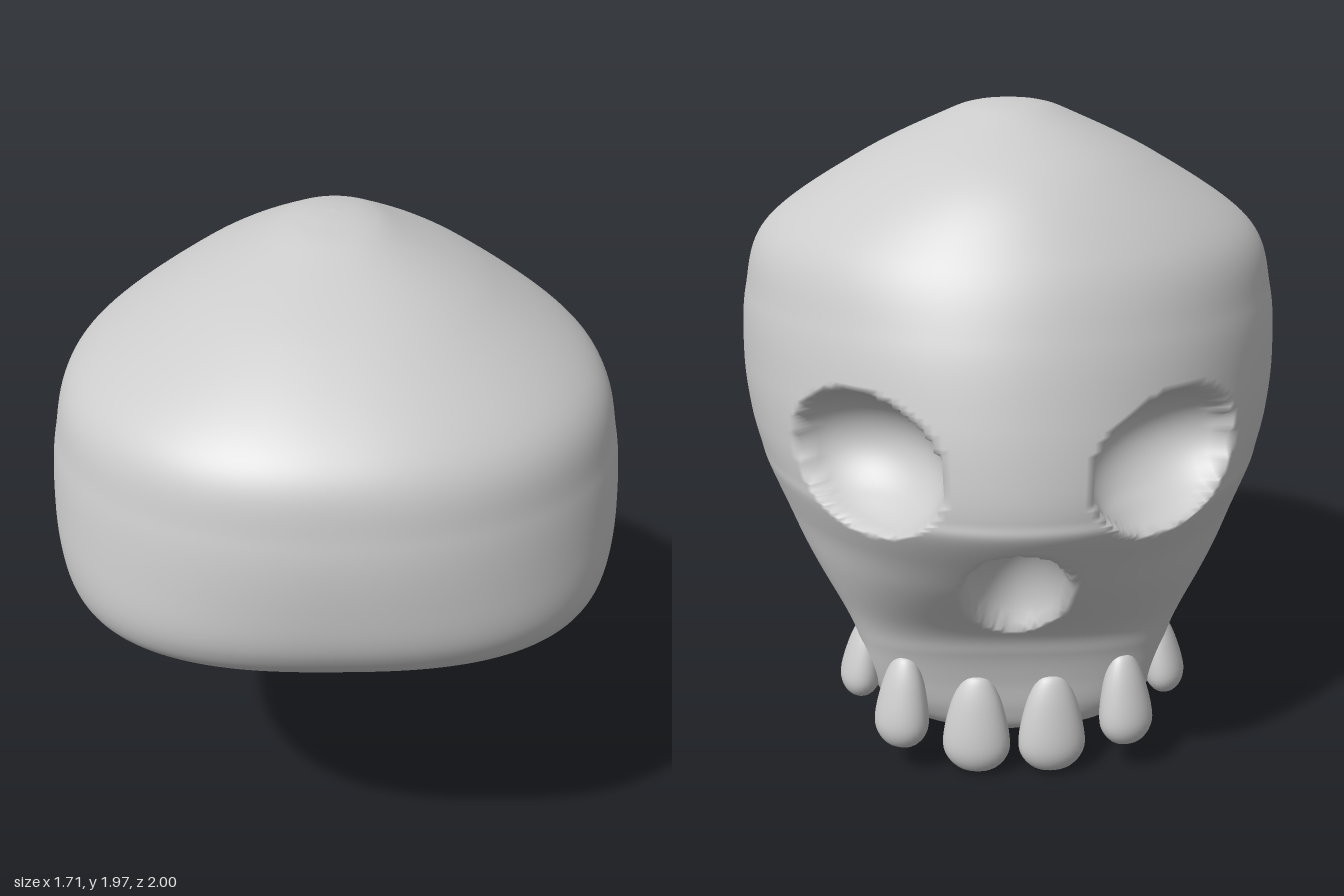
import * as THREE from 'three';

const { smoothstep } = THREE.MathUtils;
const bone = new THREE.MeshStandardMaterial({ color: 0xcccccc });
bone.name = 'bone';

// Horizontal sections, top to bottom: [height, half width, z of widest point, front z, back z]
const SECTIONS = [
  [1.975, 0, 0, 0, 0],
  [1.965, 0.1, 0, 0.13, -0.13],
  [1.93, 0.2, 0.02, 0.3, -0.29],
  [1.8, 0.47, 0.05, 0.64, -0.61],
  [1.6, 0.765, 0.09, 0.92, -0.8],
  [1.4, 0.84, 0.11, 0.99, -0.9],
  [1.2, 0.855, 0.12, 1.0, -0.96],
  [1.05, 0.84, 0.11, 0.975, -0.99],
  [0.95, 0.81, 0.07, 0.885, -0.998],
  [0.88, 0.78, 0.02, 0.69, -0.985],
  [0.7, 0.665, -0.2, 0.21, -0.855],
  [0.5, 0.52, -0.41, -0.18, -0.685],
  [0.4, 0.47, -0.46, -0.295, -0.64],
  [0.3, 0.445, -0.46, -0.34, -0.615],
  [0.2, 0.4, -0.46, -0.352, -0.6],
  [0.13, 0.3, -0.46, -0.365, -0.575],
  [0.095, 0.16, -0.46, -0.4, -0.52],
  [0.085, 0, -0.46, -0.46, -0.46],
];

// Sections grow squarer towards the jaw and round off again at its underside
function squareness(y, base, extra, top) {
  return base + extra * (1 - smoothstep(y, 0.4, top)) * smoothstep(y, 0.08, 0.3);
}

// Hollows pressed into the bone: two eye sockets and the nose opening
function hollow(center, normal, roll, halfWidth, halfHeight, depth) {
  const n = new THREE.Vector3(...normal).normalize();
  const across = new THREE.Vector3(0, 1, 0).cross(n).normalize();
  across.applyAxisAngle(n, roll);
  const along = n.clone().cross(across);
  return { c: new THREE.Vector3(...center), n, across, along, halfWidth, halfHeight, depth };
}
const HOLLOWS = [
  ...[1, -1].map((s) => hollow([s * 0.42, 1.06, -0.82], [s * 0.57, 0, -0.82], s * -0.2, 0.265, 0.19, 0.22)),
  hollow([0, 0.67, -0.83], [0, -0.67, -0.74], 0, 0.15, 0.22, 0.15),
];

function press(p) {
  const d = new THREE.Vector3();
  for (const h of HOLLOWS) {
    d.copy(p).sub(h.c);
    if (d.dot(h.n) < -0.3) continue;
    const r2 = (d.dot(h.across) / h.halfWidth) ** 2 + (d.dot(h.along) / h.halfHeight) ** 2;
    if (r2 < 1) {
      p.addScaledVector(h.n, -h.depth * Math.pow(1 - r2, 0.7));
      break;
    }
  }
  return p;
}

// Skull surface: smooth interpolation of the sections, wrapped into closed rings
function skullGeometry(rings = 230, sides = 240) {
  const curve = (a, b, c) => new THREE.CatmullRomCurve3(
    SECTIONS.map((s) => new THREE.Vector3(s[a], s[b], s[c])), false, 'catmullrom', 0.5);
  const size = curve(0, 1, 2);
  const depth = curve(0, 3, 4);
  const positions = [];
  const index = [];
  for (let i = 0; i <= rings; i++) {
    const t = i / rings;
    const { x: y, y: w, z: mid } = size.getPoint(t);
    const { y: front, z: back } = depth.getPoint(t);
    const frontPower = squareness(y, 2.2, 1.1, 1.4);
    const backPower = squareness(y, 2, 0.6, 0.8);
    for (let j = 0; j < sides; j++) {
      const a = (j / sides) * Math.PI * 2;
      const s = Math.sin(a);
      const c = Math.cos(a);
      const n = c > 0 ? frontPower : backPower;
      // Radial superellipse keeps the points evenly spread
      const k = Math.pow(Math.abs(s) ** n + Math.abs(c) ** n, -1 / n);
      const reach = c > 0 ? front - mid : mid - back;
      const p = press(new THREE.Vector3(w * s * k, y, mid + reach * c * k));
      positions.push(p.x, p.y, p.z);
      if (i < rings) {
        const p0 = i * sides + j;
        const p1 = i * sides + (j + 1) % sides;
        index.push(p0, p0 + sides, p1, p1, p0 + sides, p1 + sides);
      }
    }
  }
  const g = new THREE.BufferGeometry();
  g.setAttribute('position', new THREE.Float32BufferAttribute(positions, 3));
  g.setIndex(index);
  g.computeVertexNormals();
  return g;
}

// Tooth: teardrop with a narrow root and a blunt tip, one unit tall and wide
function toothGeometry() {
  const profile = [[0, 0], [0.32, 0.06], [0.5, 0.27], [0.39, 0.68], [0.2, 0.95], [0, 1]];
  const outline = new THREE.SplineCurve(profile.map(([x, y]) => new THREE.Vector2(x, y)));
  return new THREE.LatheGeometry(outline.getPoints(30), 28);
}

export function createModel() {
  const model = new THREE.Group();
  model.name = 'skull';
  const skull = new THREE.Mesh(skullGeometry(), bone);
  skull.name = 'cranium';
  model.add(skull);

  // Teeth: name, x, y, z, width, height, thickness, turn, outward lean
  const teeth = [
    ['FrontTooth', 0.115, 0.01, -0.62, 0.205, 0.31, 0.14, 0.15, 0.06],
    ['SideTooth', 0.345, 0.09, -0.61, 0.175, 0.29, 0.14, 0.6, 0.12],
    ['BackTooth', 0.48, 0.2, -0.48, 0.165, 0.25, 0.12, 1.25, 0.16],
  ];
  const shape = toothGeometry();
  for (const side of [1, -1]) {
    for (const [name, x, y, z, w, h, d, turn, lean] of teeth) {
      const tooth = new THREE.Mesh(shape, bone);
      tooth.name = (side > 0 ? 'left' : 'right') + name;
      tooth.position.set(side * x, y, z);
      tooth.scale.set(w, h, d);
      tooth.rotation.set(lean, -side * turn, 0, 'YXZ');
      model.add(tooth);
    }
  }
  return model;
}
